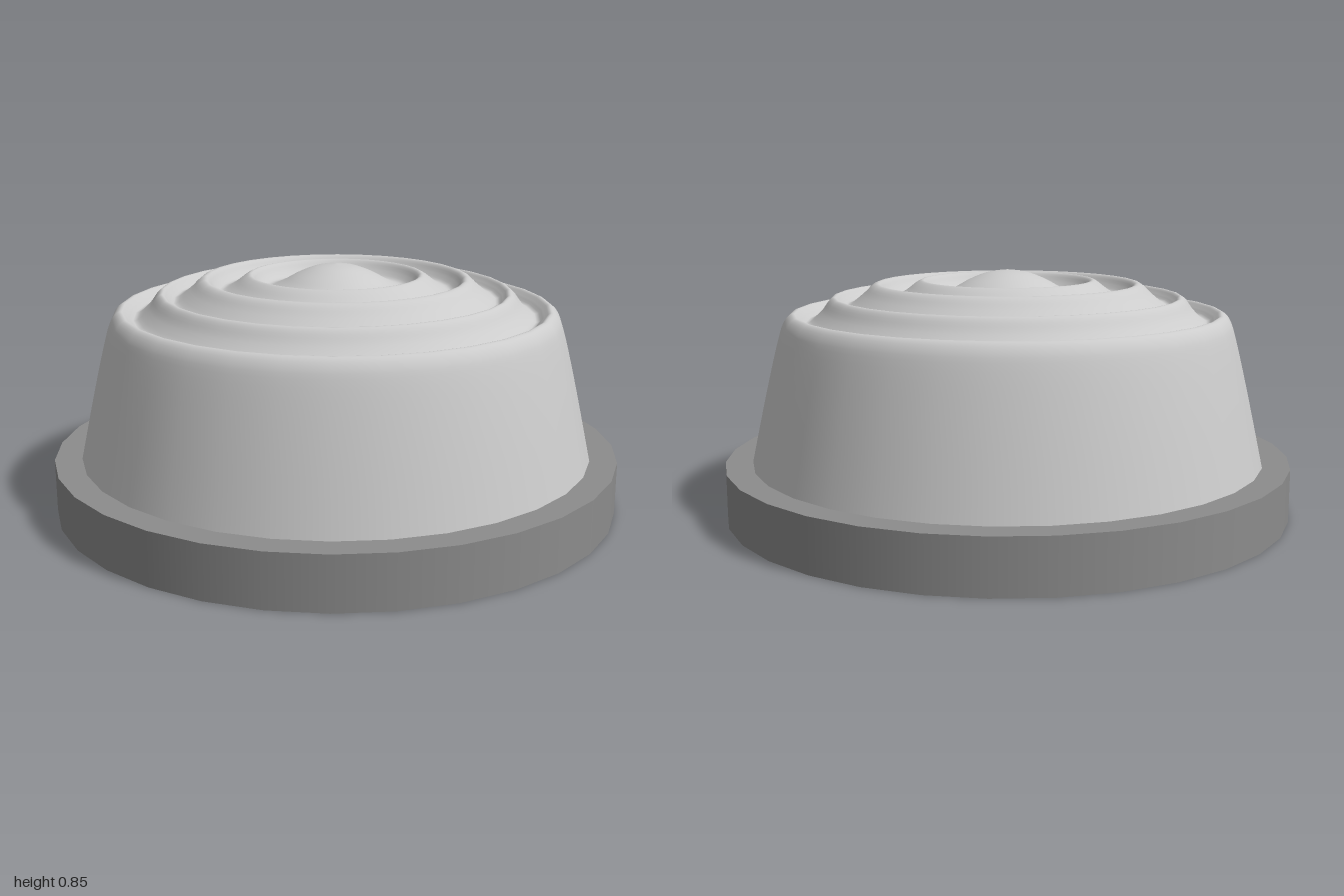
import * as THREE from 'three';

const SIDES = 32;

export function createModel() {
  const group = new THREE.Group();

  // Flat round base plate
  const base = new THREE.Mesh(
    new THREE.CylinderGeometry(1, 1, 0.185, SIDES),
    new THREE.MeshStandardMaterial({ color: 0x8c8c8c })
  );
  base.name = 'basePlate';
  base.position.y = 0.185 / 2;
  group.add(base);

  // Tapered body whose top carries concentric ripples and a central dome
  const profile = new THREE.SplineCurve([
    [0.905, 0.185], [0.85, 0.43], [0.803, 0.62], [0.78, 0.682], [0.752, 0.706],
    [0.728, 0.69], [0.7, 0.672], [0.655, 0.71], [0.625, 0.75], [0.605, 0.76],
    [0.585, 0.742], [0.56, 0.728], [0.51, 0.765], [0.475, 0.798], [0.45, 0.803],
    [0.427, 0.776], [0.4, 0.757], [0.36, 0.776], [0.32, 0.806], [0.295, 0.814],
    [0.27, 0.785], [0.24, 0.766], [0.19, 0.785], [0.135, 0.815], [0.07, 0.84], [0, 0.85]
  ].map(([r, y]) => new THREE.Vector2(r, y)));
  const points = profile.getPoints(100);
  points[points.length - 1].x = 0;

  const body = new THREE.Mesh(
    new THREE.LatheGeometry(points, SIDES),
    new THREE.MeshStandardMaterial({ color: 0xcccccc })
  );
  body.name = 'rippledDome';
  group.add(body);

  return group;
}
